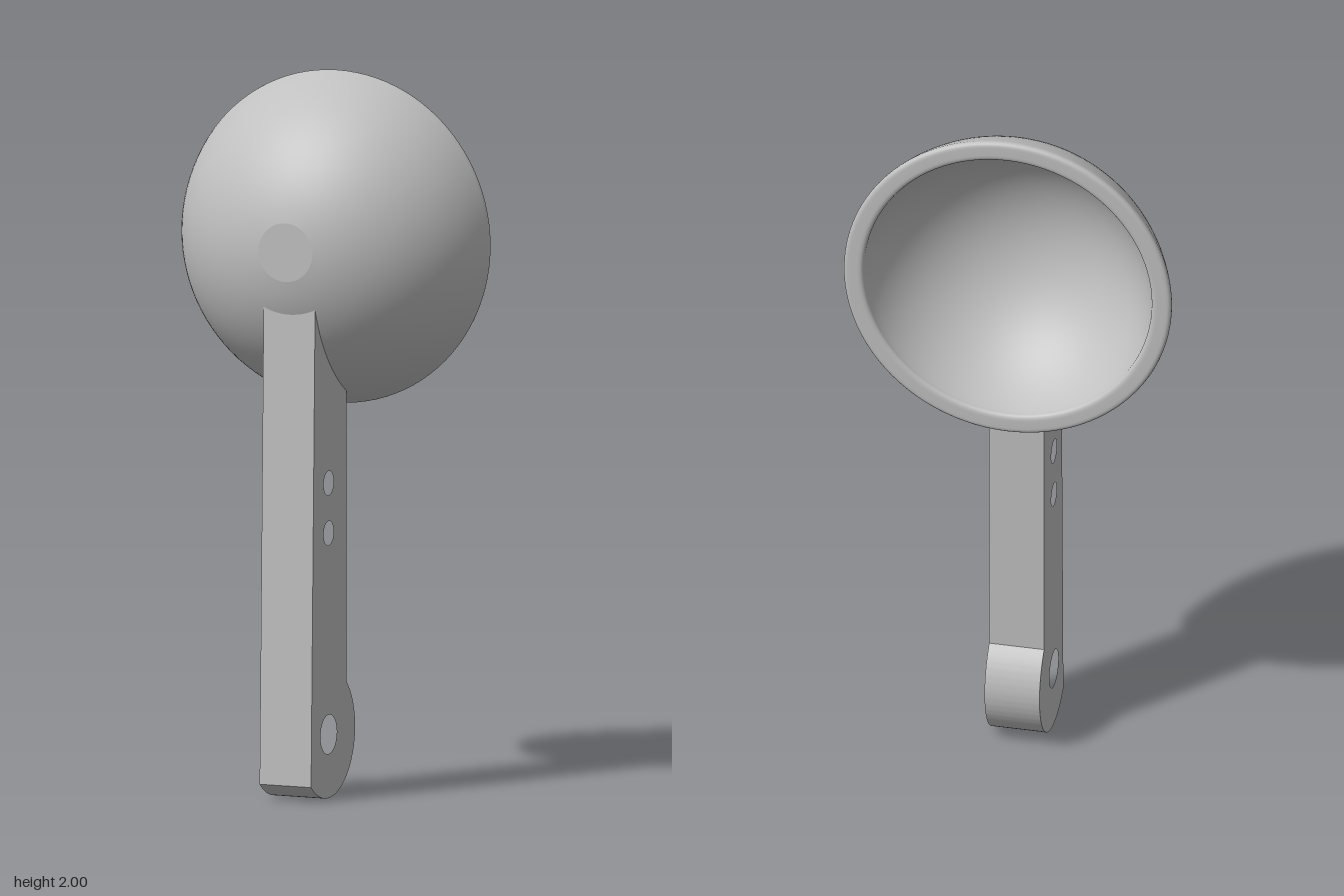
import * as THREE from 'three';
import { toCreasedNormals } from 'three/addons/utils/BufferGeometryUtils.js';

const BOWL_Y = 1.535;   // height of the bowl axis
const CENTRE_Z = -0.298; // centre of the bowl's spherical surfaces
const OUTER = 0.483, INNER = 0.43;

// Points (radius, depth) along a sphere between two polar angles
function sphereArc(radius, from, to, steps) {
  return Array.from({ length: steps + 1 }, (_, i) => {
    const a = from + ((to - from) * i) / steps;
    return new THREE.Vector2(Math.max(0, radius * Math.sin(a)), CENTRE_Z + radius * Math.cos(a));
  });
}

function createBowl(material) {
  const polar = (radius, z) => Math.acos((z - CENTRE_Z) / radius);
  const flatAngle = polar(OUTER, 0.178);
  const inside = sphereArc(INNER, 0, polar(INNER, -0.163), 24);
  const outside = sphereArc(OUTER, polar(OUTER, -0.155), flatAngle, 24);

  // Rounded lip joining the inner and outer walls
  const innerEnd = inside[inside.length - 1];
  const lipIn = new THREE.QuadraticBezierCurve(
    innerEnd, new THREE.Vector2(innerEnd.x - 0.002, -0.18), new THREE.Vector2(0.426, -0.18));
  const lipOut = new THREE.QuadraticBezierCurve(
    new THREE.Vector2(0.45, -0.18), new THREE.Vector2(0.472, -0.18), outside[0]);
  const profile = [
    ...inside, ...lipIn.getPoints(6).slice(1),
    ...lipOut.getPoints(6), ...outside.slice(1),
  ];

  const bowl = new THREE.Group();
  bowl.name = 'bowl';
  const shell = new THREE.Mesh(new THREE.LatheGeometry(profile, 96), material);
  shell.name = 'bowlShell';
  shell.rotation.x = Math.PI / 2;

  // Flat spot on the bottom of the bowl, level with the handle
  const flat = new THREE.Mesh(new THREE.CircleGeometry(outside[24].x, 96), material);
  flat.name = 'bowlFlat';
  flat.position.z = 0.178;
  bowl.add(shell, flat);
  bowl.position.y = BOWL_Y;
  return bowl;
}

function createHandle(material) {
  const width = 0.156;
  const front = 0.178, back = -0.06, pivotZ = 0.06, pivotY = 0.178, pivotR = 0.178;
  const reach = 0.462; // handle ends within the bowl wall

  // Side outline: straight bar, round pivot end, top hollowed to fit the bowl
  const shape = new THREE.Shape();
  const startAngle = -Math.acos((front - pivotZ) / pivotR);
  const endAngle = Math.PI - Math.acos((pivotZ - back) / pivotR);
  shape.moveTo(front, 1.48);
  shape.absarc(pivotZ, pivotY, pivotR, startAngle, endAngle - 2 * Math.PI, true);
  shape.absarc(CENTRE_Z, BOWL_Y, reach,
    -Math.acos((back - CENTRE_Z) / reach), -Math.acos((0.15 - CENTRE_Z) / reach), false);
  shape.closePath();

  // Pivot hole and two mounting holes
  for (const [y, r] of [[pivotY, 0.055], [0.74, 0.034], [0.88, 0.034]]) {
    const hole = new THREE.Path();
    hole.absarc(pivotZ, y, r, 0, Math.PI * 2, true);
    shape.holes.push(hole);
  }

  const geometry = new THREE.ExtrudeGeometry(shape, {
    depth: width, bevelEnabled: false, curveSegments: 40,
  });
  const handle = new THREE.Mesh(toCreasedNormals(geometry, 0.5), material);
  handle.name = 'handle';
  handle.rotation.y = -Math.PI / 2;
  handle.position.x = width / 2;
  return handle;
}

export function createModel() {
  const grey = new THREE.MeshStandardMaterial({ color: 0xc0c0c0 });
  grey.name = 'light grey';
  const model = new THREE.Group();
  model.name = 'scoop';
  model.add(createBowl(grey), createHandle(grey));
  return model;
}
